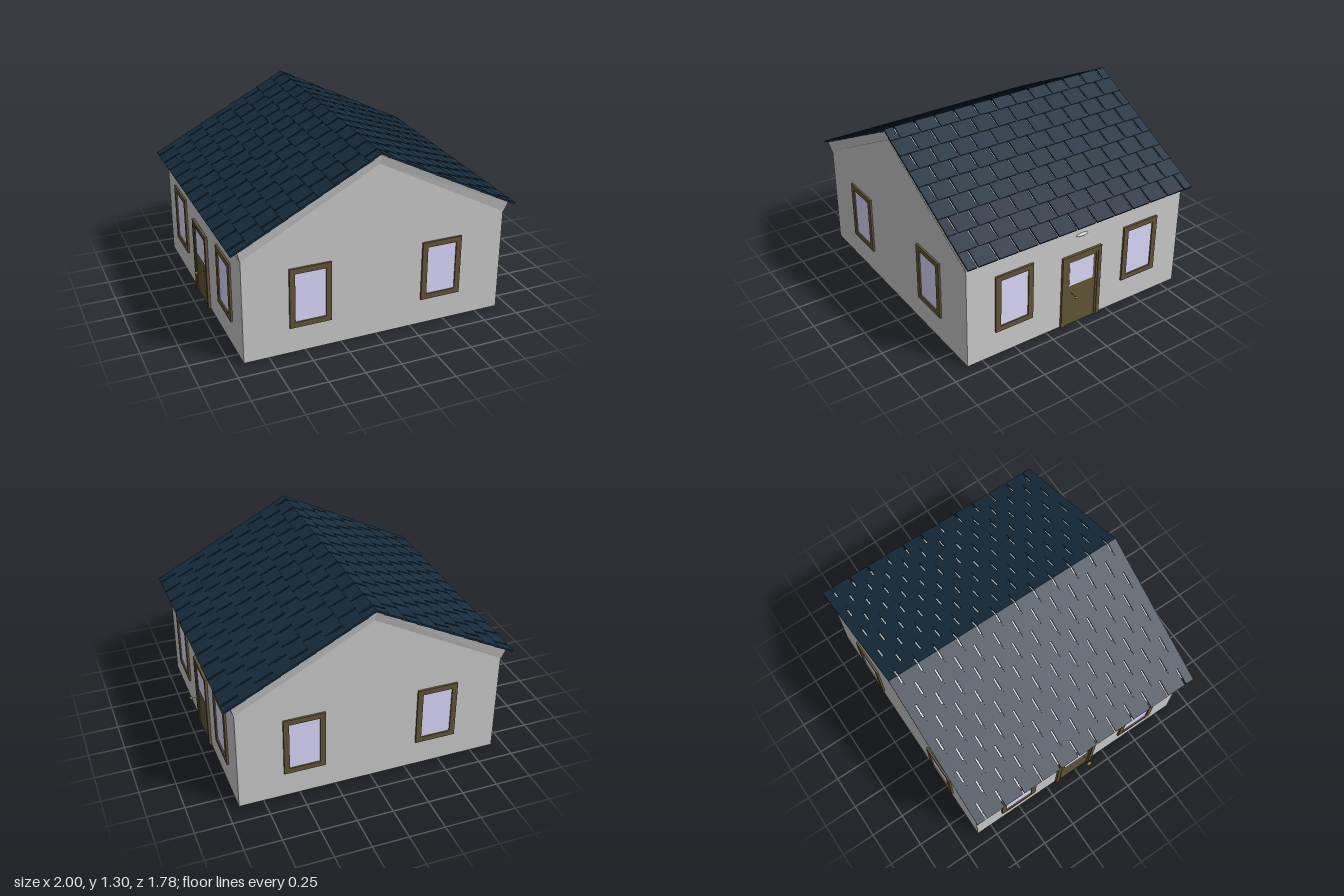
import * as THREE from 'three';
import { mergeGeometries } from 'three/addons/utils/BufferGeometryUtils.js';

const mat = (color) => new THREE.MeshStandardMaterial({ color });
const grey = mat(0xcccccc);
const wood = mat(0x615536);
const glass = mat(0xdedaff);
const slate = mat(0x172c3d);
const brass = mat(0x8a7440);

const WALL_X = 0.918, WALL_Z = 0.861;

function mesh(name, geometry, material, x = 0, y = 0, z = 0) {
  const m = new THREE.Mesh(geometry, material);
  m.name = name;
  m.position.set(x, y, z);
  return m;
}

// Prism with a polygon section in x/y, centred on z
function prism(points, depth) {
  const shape = new THREE.Shape(points.map(([x, y]) => new THREE.Vector2(x, y)));
  return new THREE.ExtrudeGeometry(shape, { depth, bevelEnabled: false }).translate(0, 0, -depth / 2);
}

// Rectangle border standing on its bottom edge, front at +z; an open border has no sill
function border(w, h, t, depth, open = false) {
  const s = new THREE.Shape();
  const a = w / 2, b = w / 2 - t;
  const pts = open
    ? [[-a, 0], [-b, 0], [-b, h - t], [b, h - t], [b, 0], [a, 0], [a, h], [-a, h]]
    : [[-a, 0], [a, 0], [a, h], [-a, h]];
  s.setFromPoints(pts.map(([x, y]) => new THREE.Vector2(x, y)));
  if (!open) {
    const hole = [[-b, t], [-b, h - t], [b, h - t], [b, t]];
    s.holes.push(new THREE.Path(hole.map(([x, y]) => new THREE.Vector2(x, y))));
  }
  return new THREE.ExtrudeGeometry(s, { depth, bevelEnabled: false });
}

function createWindow(x) {
  const g = new THREE.Group();
  g.name = 'window';
  g.position.set(x, 0.187, 0);
  g.add(mesh('windowFrame', border(0.286, 0.424, 0.038, 0.014), wood));
  g.add(mesh('windowPane', new THREE.BoxGeometry(0.212, 0.35, 0.008), glass, 0, 0.212, 0.001));
  return g;
}

// s mirrors the door for the opposite wall
function createDoor(s) {
  const g = new THREE.Group();
  g.name = 'door';
  g.position.x = 0.02 * s;
  g.add(mesh('doorFrame', border(0.316, 0.552, 0.026, 0.018, true), wood));
  g.add(mesh('doorInnerFrame', border(0.264, 0.526, 0.014, 0.013, true), wood));
  g.add(mesh('doorLeaf', new THREE.BoxGeometry(0.236, 0.512, 0.016), wood, 0, 0.256, 0));
  g.add(mesh('doorPane', new THREE.BoxGeometry(0.195, 0.185, 0.004), glass, 0, 0.407, 0.008));
  // Lever on a thin stem
  const stem = new THREE.CylinderGeometry(0.002, 0.002, 0.07, 8).rotateX(Math.PI / 2);
  g.add(mesh('handleStem', stem, brass, -0.08 * s, 0.255, 0.037));
  const lever = new THREE.SphereGeometry(1, 16, 10).scale(0.02, 0.005, 0.011);
  g.add(mesh('handleLever', lever, brass, -0.08 * s, 0.255, 0.071));
  return g;
}

// One slope of staggered shingles, falling towards +x
function createShingles() {
  const g = new THREE.Group();
  g.name = 'roofSlope';
  const ROWS = 9, PITCH = 0.113, LENGTH = 0.148, STEP = 0.149, GAP = 0.012, T = 0.011, END = 0.888;
  const slabY = (x) => 1.286 - 0.518 * x;
  for (let i = 0; i < ROWS; i++) {
    const low = 0.99 - i * PITCH;
    const high = Math.max(0, low - LENGTH);
    const yl = slabY(low) + 0.009, yh = slabY(high) + (high === 0 ? 0.005 : 0);
    const section = [[low - 0.005, yl - 0.002], [low, yl + T - 0.002], [high, yh + T + 0.001], [high, yh]];
    const offset = i % 2 ? 0 : STEP / 2;
    const tiles = [];
    for (let k = -7; k <= 6; k++) {
      const z0 = Math.max(-END, k * STEP + offset + GAP / 2);
      const z1 = Math.min(END, (k + 1) * STEP + offset - GAP / 2);
      if (z1 - z0 < 0.02) continue;
      tiles.push(prism(section, z1 - z0).translate(0, 0, (z0 + z1) / 2));
    }
    g.add(mesh('shingleRow', mergeGeometries(tiles), slate));
  }
  return g;
}

export function createModel() {
  const house = new THREE.Group();
  house.name = 'house';

  // Gabled body
  house.add(mesh('walls', prism(
    [[-WALL_X, 0], [WALL_X, 0], [WALL_X, 0.74], [0, 1.23], [-WALL_X, 0.74]], WALL_Z * 2), grey));

  // Roof slab whose edges flare outwards towards the top
  const slab = prism([[-0.922, 0.727], [0, 1.219], [0.922, 0.727], [0.94, 0.799], [0, 1.286], [-0.94, 0.799]], 2);
  const p = slab.attributes.position;
  for (let i = 0; i < p.count; i++) {
    const upper = p.getY(i) > 1.25 || Math.abs(p.getX(i)) > 0.93;
    p.setZ(i, Math.sign(p.getZ(i)) * (upper ? 0.88 : 0.865));
  }
  slab.computeVertexNormals();
  house.add(mesh('roofSlab', slab, grey));

  // Shingles on both slopes
  for (const turn of [0, Math.PI]) {
    const slope = createShingles();
    slope.rotation.y = turn;
    house.add(slope);
  }

  // Openings: two windows on each wall, a door on each long wall
  for (const s of [1, -1]) {
    const gable = new THREE.Group();
    gable.name = s > 0 ? 'frontOpenings' : 'backOpenings';
    gable.position.z = s * WALL_Z;
    gable.rotation.y = s > 0 ? 0 : Math.PI;
    gable.add(createWindow(-0.465), createWindow(0.465));

    const side = new THREE.Group();
    side.name = s > 0 ? 'leftOpenings' : 'rightOpenings';
    side.position.x = s * WALL_X;
    side.rotation.y = s * Math.PI / 2;
    side.add(createWindow(-0.51), createWindow(0.51), createDoor(s));
    house.add(gable, side);
  }

  // Lamp above one door
  const lamp = new THREE.SphereGeometry(1, 24, 16).scale(0.014, 0.012, 0.046);
  house.add(mesh('lamp', lamp, grey, WALL_X, 0.683, -0.017));

  return house;
}
